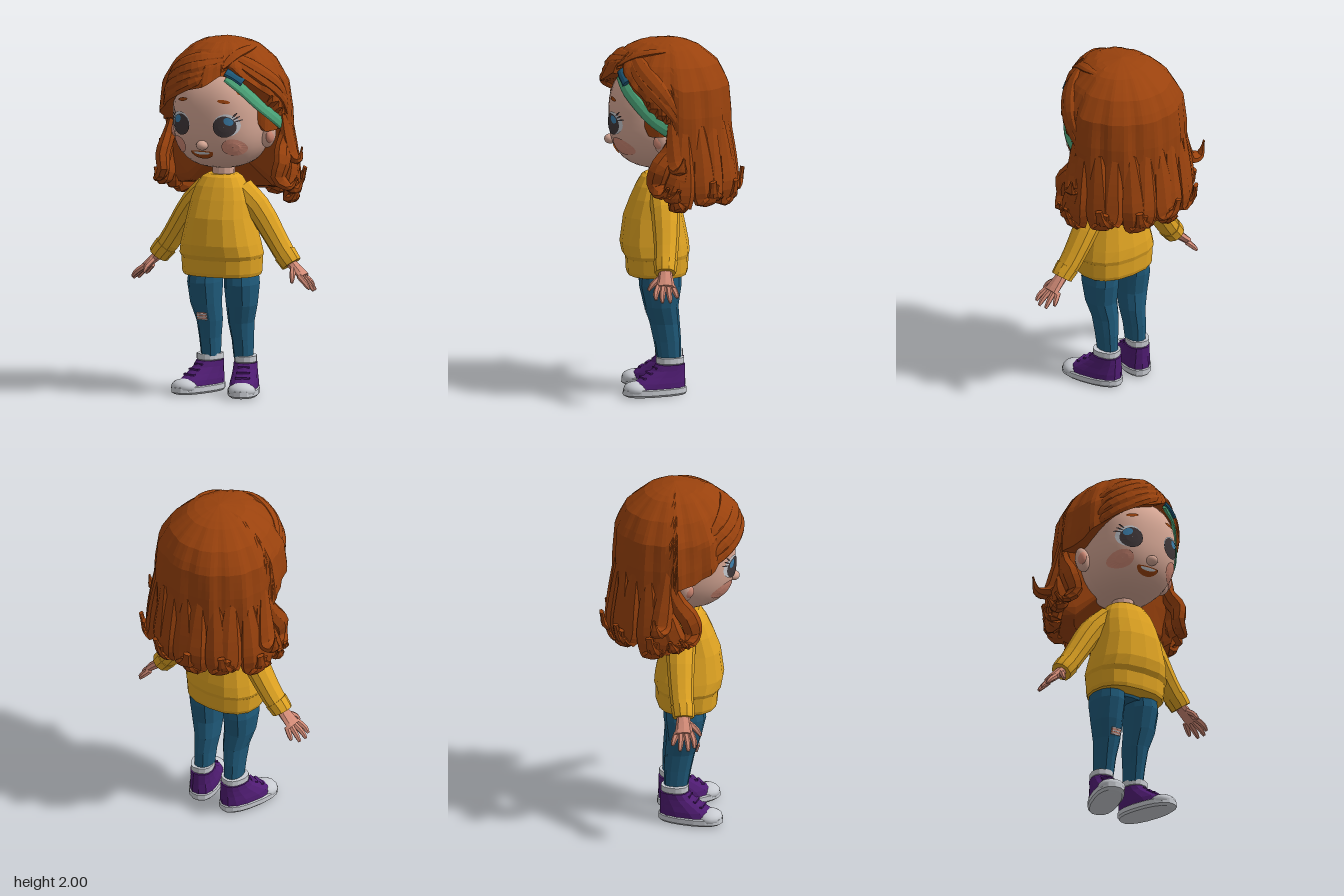
import * as THREE from 'three';

const V = (x, y, z) => new THREE.Vector3(x, y, z);
const paint = (name, color, double) => {
  const m = new THREE.MeshStandardMaterial({ color });
  m.name = name;
  if (double) m.side = THREE.DoubleSide;
  return m;
};

// Faceted skin over a list of closed rings, with both ends capped.
function loft(rings, caps = true) {
  const pos = [], k = rings[0].length;
  const tri = (...p) => p.forEach(v => pos.push(v.x, v.y, v.z));
  for (let i = 0; i < rings.length - 1; i++) for (let j = 0; j < k; j++) {
    const a = rings[i][j], b = rings[i][(j + 1) % k], c = rings[i + 1][(j + 1) % k], d = rings[i + 1][j];
    tri(a, b, c); tri(a, c, d);
  }
  if (caps) [rings[0], rings[rings.length - 1]].forEach((r, e) => {
    const m = r.reduce((s, p) => s.add(p), V(0, 0, 0)).divideScalar(k);
    r.forEach((p, j) => { const q = r[(j + 1) % k]; e ? tri(m, p, q) : tri(m, q, p); });
  });
  const g = new THREE.BufferGeometry();
  g.setAttribute('position', new THREE.Float32BufferAttribute(pos, 3));
  g.computeVertexNormals();
  return g;
}

// Horizontal sections listed upward: [y, centreX, halfWidth, frontZ, backZ].
function stack(rows, k = 16, p = 2.4) {
  const pw = v => Math.sign(v) * Math.abs(v) ** (2 / p);
  return loft(rows.map(([y, cx, rx, zf, zb]) => Array.from({ length: k }, (_, j) => {
    const a = j / k * Math.PI * 2;
    return V(cx + rx * pw(Math.sin(a)), y, (zf + zb) / 2 + (zf - zb) / 2 * pw(Math.cos(a)));
  })));
}

// Elliptical section swept along a curve; size(t) gives [side, depth], side(p, T) the side direction.
function sweep(pts, n, k, size, side) {
  const curve = new THREE.CatmullRomCurve3(pts), rings = [];
  for (let i = 0; i <= n; i++) {
    const t = i / n, p = curve.getPoint(t), T = curve.getTangent(t), S = side(p, T);
    S.addScaledVector(T, -S.dot(T)).normalize();
    const N = T.clone().cross(S), [w, d] = size(t);
    rings.push(Array.from({ length: k }, (_, j) => {
      const a = j / k * Math.PI * 2;
      return p.clone().addScaledVector(S, w * Math.cos(a)).addScaledVector(N, d * Math.sin(a));
    }));
  }
  return loft(rings);
}

// Linear lookup in a table sorted by its first column.
function lookup(table, key) {
  let i = 0;
  while (i < table.length - 2 && key > table[i + 1][0]) i++;
  const a = table[i], b = table[i + 1];
  const t = THREE.MathUtils.clamp((key - a[0]) / (b[0] - a[0]), 0, 1);
  return a.slice(1).map((v, j) => v + (b[j + 1] - v) * t);
}

// Head form: a full, slightly squared ellipsoid.
const HC = V(0, 1.565, 0.07), HR = V(0.262, 0.297, 0.297), HP = 2.55;
const headZ = (x, y) => HC.z + HR.z * Math.max(0, 1 - Math.abs(x / HR.x) ** HP - Math.abs((y - HC.y) / HR.y) ** HP) ** (1 / HP);

// Thin painted patch that follows the face; top flattens its upper half.
function patch(cx, cy, rx, ry, off, rot = 0, top = 1) {
  return loft([0.02, 0.5, 1].map(r => Array.from({ length: 18 }, (_, j) => {
    const a = -j / 18 * Math.PI * 2, u = r * rx * Math.cos(a);
    const v = r * ry * Math.sin(a) * (Math.sin(a) > 0 ? top : 1);
    const x = cx + u * Math.cos(rot) - v * Math.sin(rot), y = cy + u * Math.sin(rot) + v * Math.cos(rot);
    return V(x, y, headZ(x, y) + off);
  })), false);
}

// Hair volume by height: [y, half width, front reach, back reach]; hemline by angle from the front.
const HAIR = [[1.06, .33, .15, .28], [1.18, .375, .22, .35], [1.28, .38, .29, .35], [1.4, .37, .33, .34], [1.6, .365, .37, .34],
  [1.755, .345, .375, .33], [1.87, .275, .325, .27], [1.95, .19, .235, .17], [1.98, .13, .165, .1], [2, .005, .005, .005]];
const HEM = [[-180, 1.1], [-102, 1.14], [-96, 1.2], [-91, 1.5], [-75, 1.52], [-60, 1.57], [-40, 1.66], [-20, 1.72], [5, 1.76], [18, 1.82],
  [26, 1.8], [40, 1.68], [55, 1.58], [68, 1.49], [91, 1.5], [96, 1.2], [102, 1.14], [180, 1.1]];
const step = THREE.MathUtils.smoothstep;
function onHair(deg, y, off = 0) {
  const [a, f, b] = lookup(HAIR, y), r = deg * Math.PI / 180, s = Math.sin(r), c = Math.cos(r);
  // the hair sits lower beside the parting, and is pressed in under the headband
  const band = 1.83 - (deg - 25) * .0046;
  const beside = step(deg, 16, 23) * (1 - step(deg, 55, 85));
  const pressed = step(deg, 18, 26) * (1 - step(deg, 84, 97)) * (1 - step(y, band, band + .06)) * step(y, 1.36, 1.46);
  const R = (1 - .05 * beside - .13 * pressed) / Math.hypot(s / a, c / (c > 0 ? f : b)) + off;
  return V(s * R, y, 0.03 + c * R);
}

export function createModel() {
  const model = new THREE.Group();
  model.name = 'girl';
  const mat = {
    hair: paint('auburn hair', 0x9a420d, true), skin: paint('skin', 0xd6a795), rosy: paint('rosy skin', 0xd18a76),
    knit: paint('mustard knit', 0xdfa322), denim: paint('denim', 0x1f5a7a), purple: paint('purple canvas', 0x4f1c72),
    white: paint('off white', 0xc8cbd1), dark: paint('dark brown', 0x40383a), green: paint('green ribbon', 0x4fab7e),
    blue: paint('eye blue', 0x3d80ac),
  };
  const group = name => { const g = new THREE.Group(); g.name = name; model.add(g); return g; };
  const add = (parent, name, geo, m) => {
    const o = new THREE.Mesh(geo, m);
    o.name = name; parent.add(o);
    return o;
  };
  const ball = (parent, name, m, p, r) => {
    const o = add(parent, name, new THREE.SphereGeometry(1, 14, 10), m);
    o.position.set(...p); o.scale.set(...r);
    return o;
  };

  // Head
  const head = group('head');
  const skull = new THREE.SphereGeometry(1, 32, 24), sp = skull.attributes.position;
  for (let i = 0; i < sp.count; i++) {
    const v = V(sp.getX(i), sp.getY(i), sp.getZ(i));
    const n = (Math.abs(v.x) ** HP + Math.abs(v.y) ** HP + Math.abs(v.z) ** HP) ** (-1 / HP);
    v.multiplyScalar(n).multiply(HR).add(HC);
    sp.setXYZ(i, v.x, v.y, v.z);
  }
  skull.computeVertexNormals();
  add(head, 'face', skull, mat.skin);
  add(head, 'neck', stack([[1.18, 0, .065, .145, .015], [1.32, 0, .06, .14, .02]], 12, 2), mat.skin);
  ball(head, 'nose', mat.skin, [0, 1.425, 0.355], [.034, .028, .036]);
  add(head, 'mouth', patch(-.012, 1.385, .07, .042, .006, 0, .15), mat.hair);
  add(head, 'teeth', patch(-.012, 1.382, .05, .014, .009, 0, .2), mat.white);
  for (const s of [1, -1]) {
    ball(head, 'ear', mat.skin, [s * .275, 1.46, .075], [.038, .07, .045]).rotation.z = -s * .2;
    ball(head, 'innerEar', mat.rosy, [s * .29, 1.46, .09], [.022, .04, .035]);
    add(head, 'cheek', patch(s * .165, 1.415, .055, .05, .007), mat.rosy);
    add(head, 'eyeWhite', patch(s * .14, 1.542, .068, .064, .005), mat.white);
    add(head, 'iris', patch(s * .132, 1.535, .06, .06, .008), mat.dark);
    add(head, 'eyeGlint', patch(s * .155, 1.565, .026, .02, .011, -s * .6), mat.blue);
    add(head, 'brow', patch(s * .125, 1.675, .034, .01, .007, -s * .15), mat.hair);
    for (let i = 0; i < 3; i++)
      add(head, 'eyelash', patch(s * (.183 + i * .008), 1.6 - i * .016, .018, .004, .009, s * (.9 - i * .3)), mat.dark);
  }

  // Hair cap, folded inward along its hem
  const hair = group('hair'), cols = 96, rows = 20, cap = [];
  for (let i = -1; i <= rows; i++) cap.push(Array.from({ length: cols }, (_, j) => {
    const deg = j / cols * 360 - 180, r = deg * Math.PI / 180, [hem] = lookup(HEM, deg);
    const t = 1 - Math.max(i, 0) / rows, y = 2 - (2 - hem) * t ** 1.8;
    const groove = t * (.009 * Math.sin(11 * r + 4 * y) + .005 * Math.sin(23 * r));
    return i < 0 ? onHair(deg, y + .02, -.11) : onHair(deg, y, groove);
  }));
  add(hair, 'hairCap', loft(cap), mat.hair);

  // Locks: hanging curls keep their width around the head, swept ones lie flat on it
  const around = p => V(p.z - .03, 0, -p.x);
  const flat = (p, T) => p.clone().sub(V(0, 1.55, .03)).cross(T);
  const lock = (name, path, w, d, side, tip = .06) => add(hair, name, sweep(path.map(q => onHair(...q)), 14, 7, t => {
    const r = Math.max(tip, Math.sin(Math.PI * (.15 + .85 * t)));
    return [w * r, d * r];
  }, side), mat.hair);
  for (let i = 0; i < 11; i++) {
    const p = 102 + i * 15.6, j = (i % 3) * .025, w = i % 2 ? 1 : -1;
    lock('curl', [[p, 1.55, -.02], [p + 2 * w, 1.34, -.005], [p + 3 * w, 1.2, 0], [p + 5 * w, 1.11 + j, .02],
      [p + 8 * w, 1.12 + j, .05], [p + 10 * w, 1.2 + j, .04 + j / 2]], .078, .042, around, .3);
  }
  lock('sideFlick', [[-99, 1.6, -.02], [-102, 1.4, .01], [-104, 1.28, .04], [-105, 1.28, .1], [-106, 1.37, .13]], .06, .035, around, .15);
  lock('sideFlick', [[92, 1.58, -.03], [94, 1.45, -.01], [96, 1.34, .01], [98, 1.32, .04], [100, 1.39, .06]], .06, .035, around, .15);
  for (const s of [1, -1]) {
    lock('earLock', [[s * 98, 1.55, -.02], [s * 90, 1.42, -.01], [s * 80, 1.32, .0], [s * 77, 1.23, .0], [s * 84, 1.18, .04], [s * 88, 1.23, .06]], .06, .04, around, .2);
    lock('shoulderLock', [[s * 104, 1.45, -.02], [s * 97, 1.29, 0], [s * 92, 1.18, .01], [s * 93, 1.16, .05], [s * 96, 1.22, .07]], .065, .04, around, .2);
  }
  for (let i = 0; i < 4; i++)
    lock('fringe', [[21, 1.86 + i * .02, -.005], [-8, 1.79 + i * .038, 0], [-38, 1.69 + i * .052, 0], [-68, 1.57 + i * .055, -.01]], .05, .02, flat);
  for (let i = 0; i < 2; i++)
    lock('sweptSide', [[29, 1.91 + i * .02, -.005], [58, 1.82 + i * .04, 0], [84, 1.69 + i * .05, 0], [104, 1.5 + i * .05, -.01]], .045, .018, flat);
  lock('partingRidge', [[20, 1.86, 0], [36, 1.92, 0], [67, 1.95, 0], [118, 1.95, -.005]], .03, .012, flat);

  // Ribbon headband
  const ribbon = (name, path, w, m) => add(hair, name, sweep(path.map(q => onHair(...q)), 14, 8, () => [w, .012], flat), m);
  ribbon('headband', [[25, 1.81, .012], [40, 1.745, .014], [56, 1.665, .014], [74, 1.585, .014], [90, 1.525, -.005]], .035, mat.green);
  ribbon('headbandFold', [[24, 1.835, .014], [32, 1.815, .022], [41, 1.78, .018]], .028, mat.denim);

  // Sweater
  const sweater = group('sweater');
  add(sweater, 'sweaterBody', stack([[.755, 0, .222, .268, -.075], [.79, 0, .234, .293, -.085], [.85, 0, .222, .305, -.08], [1, 0, .185, .285, -.05],
    [1.1, 0, .168, .247, -.035], [1.17, 0, .145, .215, -.015], [1.22, 0, .112, .185, 0], [1.235, 0, .085, .165, .01]]), mat.knit);
  add(sweater, 'hemBand', stack([[.67, 0, .217, .264, -.07], [.69, 0, .224, .27, -.076], [.77, 0, .228, .274, -.078]]), mat.knit);
  const zSide = () => V(0, 0, 1);
  for (const s of [1, -1]) {
    const path = a => a.map(([x, y, z]) => V(s * x, y, z));
    const sleeve = [[0, .085, .072], [.3, .08, .07], [.6, .068, .062], [1, .06, .058]];
    add(sweater, 'sleeve', sweep(path([[.1, 1.145, .065], [.195, 1.055, .055], [.285, .92, .052], [.35, .82, .055], [.385, .775, .06]]),
      8, 10, t => lookup(sleeve, t), zSide), mat.knit);
    add(sweater, 'cuff', sweep(path([[.365, .8, .057], [.39, .77, .06], [.408, .745, .06]]), 3, 10, t => [.067 - .007 * t, .065 - .005 * t], zSide), mat.knit);

    // Hand with four fingers and a thumb
    const hand = group(s > 0 ? 'leftHand' : 'rightHand');
    add(hand, 'palm', sweep(path([[.395, .76, .06], [.44, .72, .06], [.485, .68, .06]]), 5, 8, t => [.034 + .018 * t, .03 - .008 * t], zSide), mat.rosy);
    const fingers = [[[.475, .685, .1], [.52, .65, .115], [.545, .62, .115]], [[.48, .68, .072], [.525, .64, .08], [.555, .607, .08]],
      [[.475, .68, .045], [.515, .64, .04], [.545, .605, .035]], [[.465, .68, .022], [.495, .65, .005], [.515, .625, -.005]],
      [[.43, .72, .09], [.447, .69, .13], [.455, .655, .155]]];
    fingers.forEach((f, i) => add(hand, i < 4 ? 'finger' : 'thumb',
      sweep(path(f), 5, 6, t => [.017 * (1 - .5 * t ** 3), .016 * (1 - .5 * t ** 3)], zSide), mat.rosy));

    // Jeans leg
    add(model, 'jeansLeg', stack([[.2, s * .1, .05, .1, -.035], [.3, s * .1, .056, .118, -.035], [.4, s * .097, .068, .14, -.028],
      [.5, s * .11, .083, .172, -.02], [.62, s * .113, .092, .2, -.037], [.72, s * .108, .085, .19, -.035]], 12, 2.2), mat.denim);

    // Shoe, toes turned outward
    const shoe = group(s > 0 ? 'leftShoe' : 'rightShoe');
    shoe.position.x = s * .1;
    shoe.rotation.y = s * .34;
    add(shoe, 'sole', stack([[0, 0, .076, .285, -.058], [.012, 0, .087, .306, -.066], [.04, 0, .087, .304, -.066], [.045, 0, .08, .294, -.06]], 18), mat.white);
    add(shoe, 'upper', stack([[.04, 0, .08, .28, -.06], [.075, 0, .078, .24, -.059], [.105, 0, .072, .19, -.057],
      [.14, 0, .067, .135, -.056], [.172, 0, .066, .108, -.055]], 14), mat.purple);
    ball(shoe, 'toeCap', mat.white, [0, .04, .23], [.078, .044, .072]);
    for (let i = 0; i < 3; i++)
      add(shoe, 'lace', new THREE.BoxGeometry(.08 - i * .008, .01, .016), mat.purple).position.set(0, .103 + i * .025, .19 - i * .038);
    add(shoe, 'sock', stack([[.15, 0, .05, .09, -.04], [.171, 0, .056, .096, -.044], [.178, 0, .064, .106, -.05], [.21, 0, .064, .106, -.05]], 14), mat.white);
  }
  add(model, 'jeansHips', stack([[.655, 0, .16, .17, -.03], [.74, 0, .19, .19, -.035]]), mat.denim);

  // Torn knee with loose threads
  const tear = group('tornKnee');
  tear.position.set(-.1, .43, .151);
  tear.rotation.x = .33;
  add(tear, 'kneeSkin', new THREE.BoxGeometry(.058, .042, .009), mat.rosy);
  for (const y of [-.016, 0, .016]) add(tear, 'thread', new THREE.BoxGeometry(.062, .006, .009), mat.white).position.set(.002, y, .003);
  return model;
}
